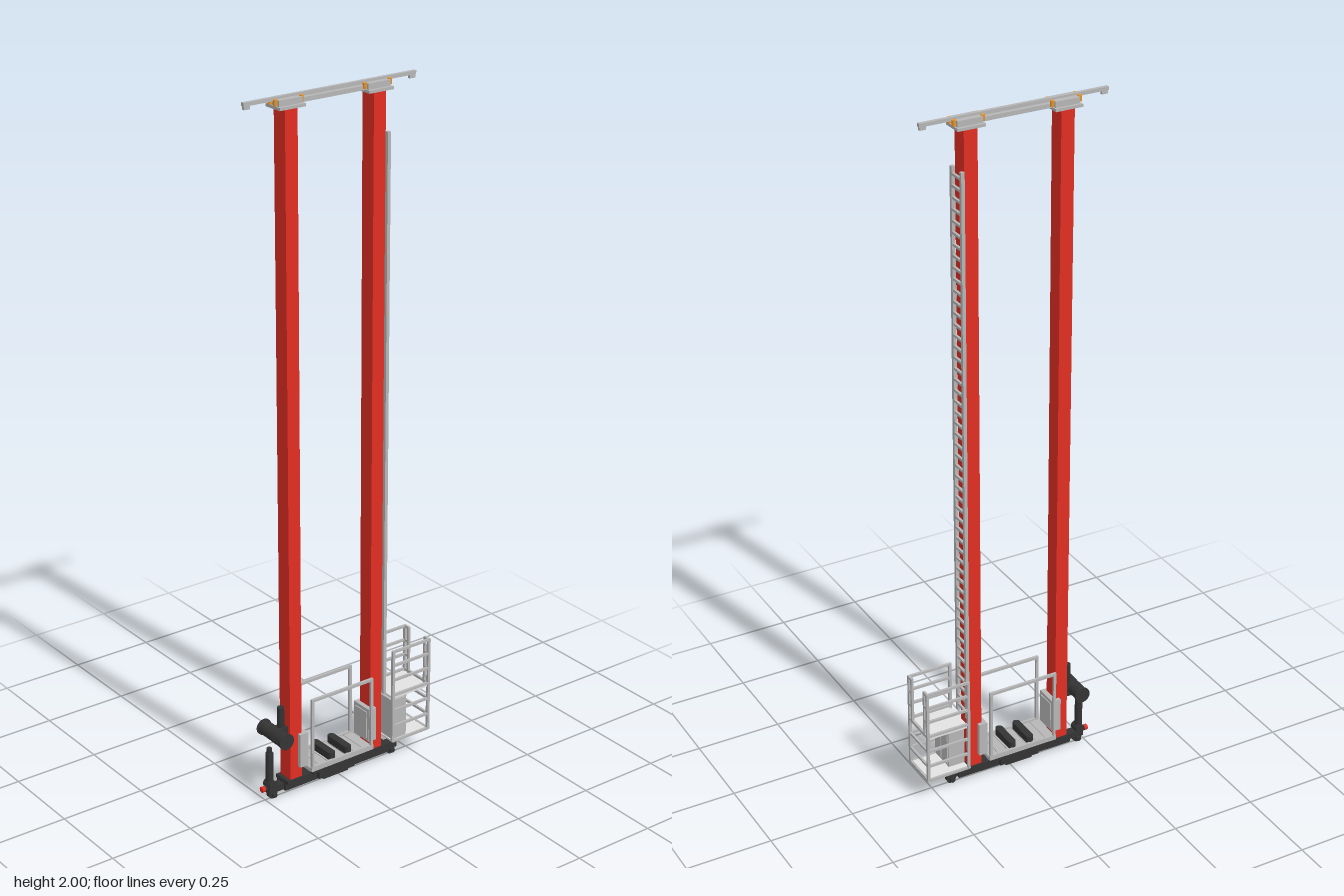
import * as THREE from 'three';

const mat = (name, color) => {
  const m = new THREE.MeshStandardMaterial({ color });
  m.name = name;
  return m;
};

export function createModel() {
  const red = mat('mast red', 0xe22e22);
  const grey = mat('steel grey', 0xb6b6b6);
  const light = mat('light grey', 0xe2e2e2);
  const black = mat('machine black', 0x343434);
  const orange = mat('roller orange', 0xe8962e);

  const model = new THREE.Group();
  model.name = 'stackerCrane';
  model.position.x = 0.0015;
  const group = (name) => {
    const g = new THREE.Group();
    g.name = name;
    model.add(g);
    return g;
  };
  const put = (parent, name, geo, material) => {
    const m = new THREE.Mesh(geo, material);
    m.name = name;
    parent.add(m);
    return m;
  };
  // box from its limits on each axis
  const box = (parent, name, material, x0, x1, y0, y1, z0, z1) => {
    const m = put(parent, name, new THREE.BoxGeometry(x1 - x0, y1 - y0, z1 - z0), material);
    m.position.set((x0 + x1) / 2, (y0 + y1) / 2, (z0 + z1) / 2);
    return m;
  };
  // cylinder of given length centred at a point, along axis x, y or z
  const cyl = (parent, name, material, r, len, axis, x, y, z, sides = 20) => {
    const m = put(parent, name, new THREE.CylinderGeometry(r, r, len, sides), material);
    if (axis === 'x') m.rotation.z = Math.PI / 2;
    if (axis === 'z') m.rotation.x = Math.PI / 2;
    m.position.set(x, y, z);
    return m;
  };
  // square bar along one axis
  const bar = (parent, name, axis, from, to, a, b, t = 0.008) => {
    const h = t / 2;
    if (axis === 'x') return box(parent, name, grey, from, to, a - h, a + h, b - h, b + h);
    if (axis === 'y') return box(parent, name, grey, a - h, a + h, from, to, b - h, b + h);
    return box(parent, name, grey, a - h, a + h, b - h, b + h, from, to);
  };

  // masts with head plates and guide rollers
  for (const x of [-0.161, 0.119]) {
    const g = group(x < 0 ? 'rightMast' : 'leftMast');
    box(g, 'mastColumn', red, x - 0.0195, x + 0.0195, 0.045, 1.97, -0.024, 0.024);
    box(g, 'mastFoot', black, x - 0.032, x + 0.032, 0.04, 0.05, -0.028, 0.028);
    box(g, 'headPlate', grey, x - 0.04, x + 0.04, 1.97, 1.978, -0.031, 0.031);
    box(g, 'headBlock', grey, x - 0.036, x + 0.036, 1.978, 1.994, -0.022, 0.022);
    for (const s of [-1, 1]) {
      for (const dx of [-0.04, 0.04]) {
        cyl(g, 'guideRoller', orange, 0.006, 0.016, 'y', x + dx, 1.988, s * 0.012, 16);
      }
    }
  }

  // overhead rail and tie beam
  const top = group('topBeam');
  box(top, 'guideRail', grey, -0.292, 0.252, 1.99, 2.0, -0.005, 0.005);
  box(top, 'tieBeam', grey, -0.125, 0.085, 1.976, 1.988, -0.012, 0.012);
  box(top, 'railHook', grey, -0.29, -0.272, 1.981, 1.99, -0.004, 0.004);
  box(top, 'railHook', grey, 0.232, 0.25, 1.981, 1.99, -0.004, 0.004);

  // base beam, end trucks and wheels
  const base = group('base');
  box(base, 'baseBeam', black, -0.195, 0.17, 0.018, 0.045, -0.02, 0.02);
  for (const s of [-1, 1]) {
    const c = s < 0 ? -0.22 : 0.18;
    box(base, 'endTruck', black, c - 0.025, c + 0.025, 0.02, 0.04, -0.012, 0.012);
    cyl(base, 'wheel', black, 0.014, 0.014, 'z', c + s * 0.008, 0.014, 0, 24);
    cyl(base, 'axle', black, 0.007, 0.036, 'z', c + s * 0.008, 0.014, 0, 16);
    cyl(base, 'bumper', black, 0.008, 0.014, 'x', c + s * 0.027, 0.036, 0, 16);
  }
  cyl(base, 'bumperTip', red, 0.0085, 0.01, 'x', -0.258, 0.036, 0, 16);

  // travel motor
  cyl(base, 'travelGearbox', black, 0.014, 0.03, 'z', -0.233, 0.045, 0);
  cyl(base, 'travelMotor', black, 0.011, 0.09, 'y', -0.235, 0.1, 0);
  cyl(base, 'travelMotorCap', black, 0.008, 0.016, 'y', -0.235, 0.152, 0);

  // hoist drum and motor
  const hoist = group('hoist');
  cyl(hoist, 'hoistDrum', black, 0.021, 0.1, 'z', -0.213, 0.195, -0.002, 28);
  for (const z of [-0.055, 0.052]) {
    cyl(hoist, 'drumFlange', black, 0.024, 0.004, 'z', -0.213, 0.195, z, 28);
  }
  for (let i = 0; i < 9; i++) {
    cyl(hoist, 'ropeWrap', black, 0.022, 0.003, 'z', -0.213, 0.195, 0.008 + i * 0.0048, 28);
  }
  box(hoist, 'hoistGearbox', black, -0.21, -0.18, 0.175, 0.215, -0.014, 0.014);
  cyl(hoist, 'hoistMotor', black, 0.01, 0.062, 'y', -0.195, 0.245, 0);

  // lift carriage with side frames, deck and guard loops
  const lift = group('liftCarriage');
  for (const s of [-1, 1]) {
    const z = s * 0.05;
    box(lift, 'deckSideRail', grey, -0.128, 0.088, 0.07, 0.085, z - 0.004, z + 0.004);
    bar(lift, 'guardPost', 'y', 0.085, 0.297, -0.123, z);
    bar(lift, 'guardPost', 'y', 0.085, 0.297, 0.083, z);
    bar(lift, 'guardTop', 'x', -0.127, 0.087, 0.293, z);
  }
  box(lift, 'deckBase', black, -0.12, 0.08, 0.058, 0.068, -0.05, 0.05);
  box(lift, 'deckPlate', grey, -0.128, 0.088, 0.068, 0.078, -0.046, 0.046);
  for (let i = 0; i < 7; i++) {
    const x = -0.127 + i * 0.0308;
    box(lift, 'deckSlat', grey, x, x + 0.029, 0.078, 0.08, -0.046, 0.046);
  }
  box(lift, 'sideFrame', grey, -0.154, -0.126, 0.085, 0.188, -0.035, 0.035);
  box(lift, 'sideFrame', grey, 0.086, 0.112, 0.085, 0.188, -0.035, 0.035);
  box(lift, 'innerPanel', grey, -0.126, -0.123, 0.095, 0.178, -0.027, 0.027);
  box(lift, 'innerPanel', grey, 0.083, 0.086, 0.095, 0.178, -0.027, 0.027);
  box(lift, 'forkDrive', black, -0.085, 0.04, 0.022, 0.058, -0.03, 0.03);
  box(lift, 'forkDriveTray', black, -0.065, 0.02, 0.012, 0.022, -0.024, 0.024);

  // load forks with rounded ends
  for (const x of [-0.049, 0.008]) {
    const w = 0.011;
    const shape = new THREE.Shape();
    shape.absarc(0, 0.037, w, 0, Math.PI);
    shape.absarc(0, -0.037, w, Math.PI, 2 * Math.PI);
    const geo = new THREE.ExtrudeGeometry(shape, { depth: 0.022, bevelEnabled: false });
    geo.rotateX(-Math.PI / 2);
    put(lift, 'loadFork', geo, black).position.set(x, 0.08, 0);
  }

  // ladder on the outer side of the left mast
  const ladder = group('ladder');
  for (const z of [-0.026, 0.026]) bar(ladder, 'ladderRail', 'y', 0.22, 1.86, 0.1455, z, 0.01);
  for (let y = 0.24; y < 1.85; y += 0.032) bar(ladder, 'rung', 'z', -0.026, 0.026, 0.1465, y, 0.007);

  // service platform with railings
  const cage = group('servicePlatform');
  const [x0, x1, zs] = [0.157, 0.285, 0.054];
  box(cage, 'lowerFloor', light, x0, x1, 0.068, 0.074, -zs, zs);
  box(cage, 'upperFloor', light, x0, x1, 0.208, 0.214, -zs, zs);
  const levels = [0.072, 0.12, 0.17, 0.22, 0.268, 0.314, 0.358];
  for (const s of [-1, 1]) {
    for (const x of [x0, x1]) bar(cage, 'cagePost', 'y', 0.07, 0.361, x, s * zs);
    bar(cage, 'gatePost', 'y', 0.214, 0.361, x1, s * 0.037, 0.007);
    for (const y of levels) {
      bar(cage, 'cageRail', 'x', x0, x1, y, s * zs, 0.007);
      if (y > 0.23) bar(cage, 'gateRail', 'z', s > 0 ? 0.037 : -zs, s > 0 ? zs : -0.037, x1, y, 0.007);
    }
  }
  for (const y of levels.slice(0, 4)) bar(cage, 'endRail', 'z', -zs, zs, x1, y, 0.007);

  // control cabinet under the upper floor
  box(cage, 'controlCabinet', grey, 0.158, 0.208, 0.076, 0.2, -0.03, 0.05);
  for (const z of [-0.008, 0.03]) {
    box(cage, 'cabinetDoor', grey, 0.208, 0.211, 0.084, 0.192, z - 0.017, z + 0.017);
  }
  return model;
}
